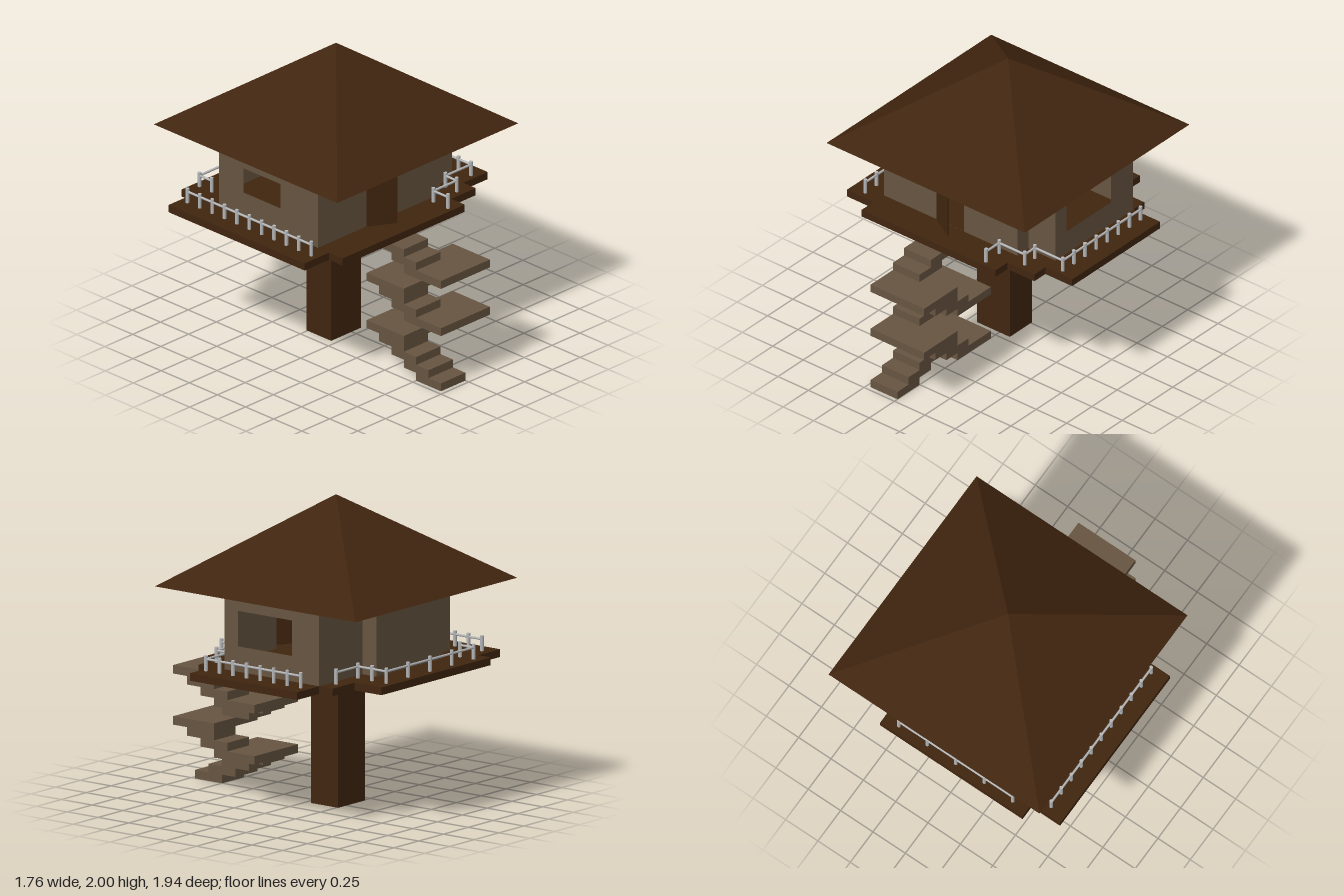
import * as THREE from 'three';

const wood = new THREE.MeshStandardMaterial({ color: 0x40250f });
wood.name = 'darkWood';
wood.flatShading = true;
const plank = new THREE.MeshStandardMaterial({ color: 0x665440, side: THREE.DoubleSide });
plank.name = 'palePlank';
const metal = new THREE.MeshStandardMaterial({ color: 0xb4b6b8 });
metal.name = 'railMetal';

const DECK = 0.935, EAVES = 1.43, RISE = 0.885 / 16;

function add(parent, name, geometry, material, x = 0, y = 0, z = 0) {
  const mesh = new THREE.Mesh(geometry, material);
  mesh.name = name;
  mesh.position.set(x, y, z);
  parent.add(mesh);
  return mesh;
}

// Box given by its limits on each axis
function block(parent, name, material, [x0, x1], [y0, y1], [z0, z1]) {
  return add(parent, name, new THREE.BoxGeometry(x1 - x0, y1 - y0, z1 - z0), material,
    (x0 + x1) / 2, (y0 + y1) / 2, (z0 + z1) / 2);
}

// Thin upright wall from a to b ([x, z]); hole is [start, end, bottom, top] along it
function wall(parent, a, b, hole) {
  const length = Math.hypot(b[0] - a[0], b[1] - a[1]);
  const shape = new THREE.Shape();
  shape.moveTo(0, DECK).lineTo(length, DECK).lineTo(length, EAVES).lineTo(0, EAVES);
  if (hole) {
    const [s, e, y0, y1] = hole;
    const path = new THREE.Path();
    path.moveTo(s, y0).lineTo(s, y1).lineTo(e, y1).lineTo(e, y0);
    shape.holes.push(path);
  }
  const mesh = add(parent, 'wall', new THREE.ShapeGeometry(shape), plank, a[0], 0, a[1]);
  mesh.rotation.y = -Math.atan2(b[1] - a[1], b[0] - a[0]);
}

// Railing along a path of [x, z] points: a bar per stretch, posts at even steps
function railing(parent, name, points) {
  const group = new THREE.Group();
  group.name = name;
  const post = ([x, z]) => add(group, 'railPost',
    new THREE.CylinderGeometry(0.012, 0.012, 0.1, 10), metal, x, DECK + 0.05, z);
  post(points[0]);
  for (let i = 1; i < points.length; i++) {
    const [ax, az] = points[i - 1], [bx, bz] = points[i];
    const length = Math.hypot(bx - ax, bz - az);
    const alongX = Math.abs(bx - ax) > Math.abs(bz - az);
    const bar = add(group, 'railBar', new THREE.CylinderGeometry(0.008, 0.008, length, 8), metal,
      (ax + bx) / 2, DECK + 0.077, (az + bz) / 2);
    if (alongX) bar.rotation.z = Math.PI / 2;
    else bar.rotation.x = Math.PI / 2;
    const count = Math.max(1, Math.round(length / (alongX ? 0.22 : 0.11)));
    for (let k = 1; k <= count; k++) post([ax + (bx - ax) * k / count, az + (bz - az) * k / count]);
  }
  parent.add(group);
}

export function createModel() {
  const model = new THREE.Group();
  model.name = 'stiltHouse';

  // Supporting post
  block(model, 'supportPost', wood, [-0.185, 0.085], [0, 0.89], [-0.26, -0.04]);

  // Deck with stepped corners, extruded upwards
  const outline = [
    [0.44, 0.53], [0.44, 0.41], [0.66, 0.41], [0.66, 0.30], [0.88, 0.30], [0.88, -0.57],
    [0.66, -0.57], [0.66, -0.68], [0.44, -0.68], [0.44, -0.90], [-0.66, -0.90], [-0.66, -0.80],
    [-0.88, -0.80], [-0.88, 0.41], [-0.66, 0.41], [-0.66, 0.53],
  ];
  const deckShape = new THREE.Shape(outline.map(([x, z]) => new THREE.Vector2(x, -z)));
  const deckGeometry = new THREE.ExtrudeGeometry(deckShape, { depth: 0.05, bevelEnabled: false });
  deckGeometry.rotateX(-Math.PI / 2);
  add(model, 'deck', deckGeometry, wood, 0, 0.885, 0);

  // Walls around the room, with a doorway and two windows
  const walls = new THREE.Group();
  walls.name = 'walls';
  model.add(walls);
  const corners = [
    [-0.66, 0.31], [0.44, 0.31], [0.44, 0.20], [0.66, 0.20], [0.66, -0.57],
    [0.22, -0.57], [0.22, -0.68], [-0.44, -0.68], [-0.44, -0.57], [-0.66, -0.57],
  ];
  const holes = {
    0: [0.44, 0.66, DECK + 0.001, 1.27],
    3: [0.11, 0.55, 1.10, 1.33],
    9: [0.22, 0.55, 1.10, 1.27],
  };
  corners.forEach((c, i) => wall(walls, c, corners[(i + 1) % corners.length], holes[i]));

  // Door standing ajar, hinged on its -x edge
  const doorGeometry = new THREE.BoxGeometry(0.2, 1.27 - DECK, 0.012);
  doorGeometry.translate(0.1, 0, 0);
  const door = add(model, 'door', doorGeometry, wood, -0.22, (DECK + 1.27) / 2, 0.31);
  door.rotation.y = -Math.PI / 6;

  // Pyramid roof
  const roofGeometry = new THREE.ConeGeometry(0.815 * Math.SQRT2, 2 - EAVES, 4);
  roofGeometry.rotateY(Math.PI / 4);
  add(model, 'roof', roofGeometry, wood, -0.025, (2 + EAVES) / 2, -0.155);

  // Railings on three stretches of the deck
  railing(model, 'leftRailing',
    [[0.33, 0.49], [0.33, 0.36], [0.54, 0.36], [0.54, 0.26], [0.77, 0.26], [0.77, -0.51]]);
  railing(model, 'backRailing',
    [[0.55, -0.62], [0.33, -0.62], [0.33, -0.85], [-0.55, -0.85], [-0.55, -0.74]]);
  railing(model, 'rightRailing', [[-0.77, 0.36], [-0.77, -0.74]]);

  // Switchback stairs: near and far landings span both flights
  const stairs = new THREE.Group();
  stairs.name = 'stairs';
  model.add(stairs);
  const inner = [4, 10], outer = [7, 13];
  for (let k = 0; k < 16; k++) {
    const height = [k * RISE, (k + 1) * RISE];
    if (inner.includes(k)) block(stairs, 'landing', plank, [-0.22, 0.22], height, [0.31, 0.64]);
    else if (outer.includes(k)) block(stairs, 'landing', plank, [-0.22, 0.22], height, [0.64, 0.97]);
    else {
      const returning = k % 6 === 5 || k % 6 === 0 && k > 0;
      // Front edge of the tread, moving in or out with each flight
      const front = k < 4 ? 0.97 - 0.11 * k
        : returning ? (k % 6 === 5 ? 0.75 : 0.86)
        : (k % 6 === 2 ? 0.75 : 0.64);
      block(stairs, 'step', plank, returning ? [0, 0.22] : [-0.22, 0], height, [front - 0.22, front]);
    }
  }
  return model;
}
